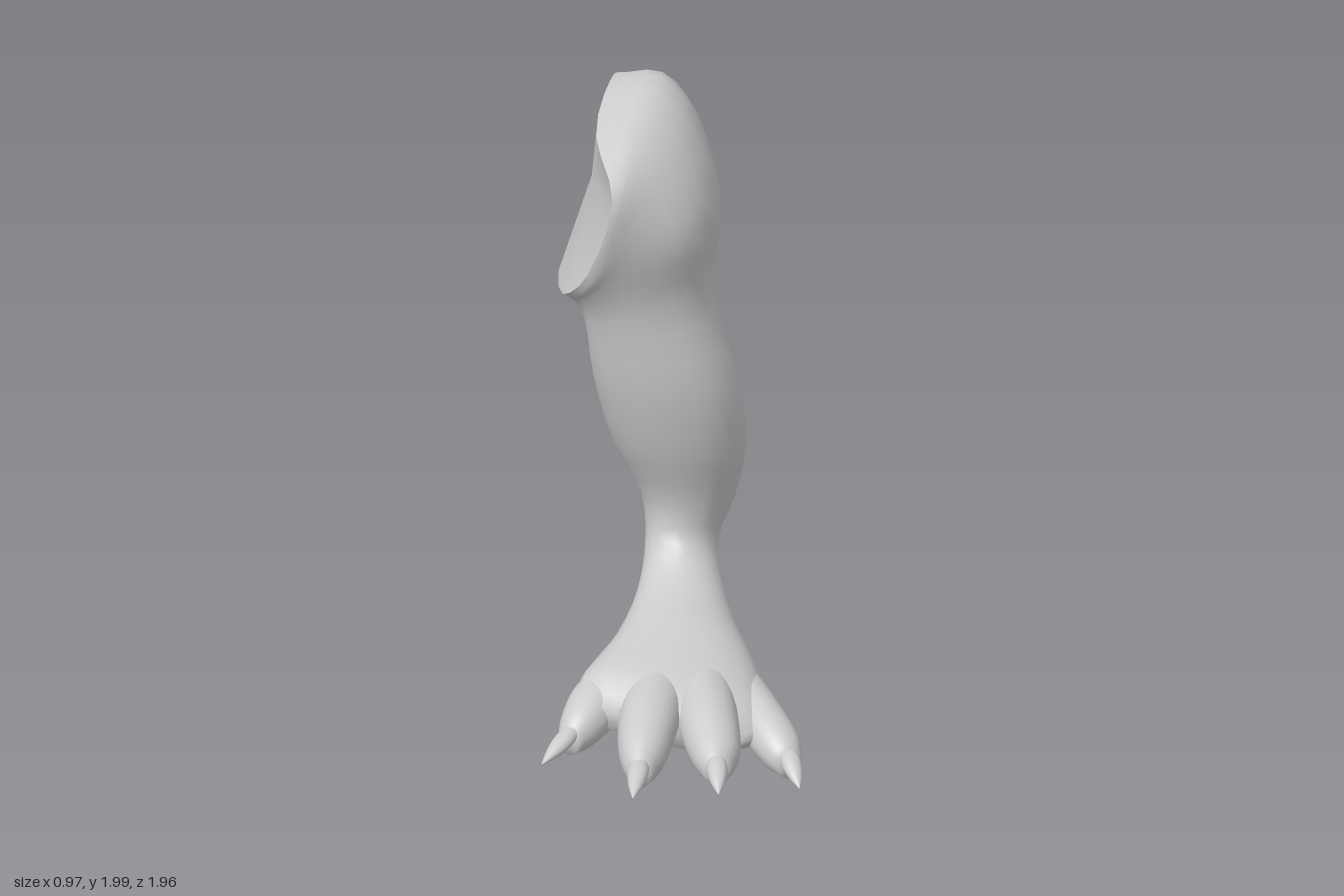
import * as THREE from 'three';

const SIDES = 24;
const material = new THREE.MeshStandardMaterial({ color: 0xcccccc });
const vec = (p) => new THREE.Vector3(...p);

function makeMesh(name, points, index) {
  const geometry = new THREE.BufferGeometry().setFromPoints(points);
  geometry.setIndex(index);
  geometry.computeVertexNormals();
  const mesh = new THREE.Mesh(geometry, material);
  mesh.name = name;
  return mesh;
}

// Resample each 8-point ring to SIDES points, then smooth along the length
function refine(rings, sub) {
  const fine = rings.map((ring) => {
    const curve = new THREE.CatmullRomCurve3(ring, true);
    return Array.from({ length: SIDES }, (_, i) => curve.getPoint(i / SIDES));
  });
  const columns = fine[0].map((_, i) => new THREE.CatmullRomCurve3(fine.map((r) => r[i])));
  const steps = (rings.length - 1) * sub;
  return Array.from({ length: steps + 1 }, (_, s) => columns.map((c) => c.getPoint(s / steps)));
}

// Skin over the rings, closed at the far end by a fan
function skin(name, rings) {
  const points = rings.flat();
  const index = [];
  const last = rings.length - 1;
  const tip = points.length;
  const middle = new THREE.Vector3();
  rings[last].forEach((p) => middle.addScaledVector(p, 1 / SIDES));
  points.push(middle);
  for (let i = 0; i < SIDES; i++) {
    const j = (i + 1) % SIDES;
    for (let r = 0; r < last; r++) {
      const a = r * SIDES + i, b = r * SIDES + j;
      index.push(a, b, a + SIDES, b, b + SIDES, a + SIDES);
    }
    index.push(tip, last * SIDES + i, last * SIDES + j);
  }
  return makeMesh(name, points, index);
}

// Leg ring: width limits, front/top edge, back/bottom edge, drop of the outer side
function legRing([x0, x1, zf, yf, zb, yb, drop = 0]) {
  return Array.from({ length: 8 }, (_, i) => {
    const a = (i * Math.PI) / 4, c = Math.cos(a), s = Math.sin(a);
    return new THREE.Vector3(
      (x0 + x1) / 2 + (c * (x1 - x0)) / 2,
      (yf + yb) / 2 + (s * (yf - yb)) / 2 - drop * c,
      (zf + zb) / 2 + (s * (zf - zb)) / 2);
  });
}

// Rounded digit along stations [x, y, z, half width, half height]
function digit(name, stations) {
  const first = stations[0], end = stations[stations.length - 1];
  const side = new THREE.Vector3(end[2] - first[2], 0, first[0] - end[0]).normalize();
  const rings = stations.map(([x, y, z, w, h]) => Array.from({ length: 8 }, (_, i) => {
    const a = (i * Math.PI) / 4;
    return new THREE.Vector3(x, y + h * Math.sin(a), z).addScaledVector(side, w * Math.cos(a));
  }));
  return skin(name, refine(rings, 3));
}

export function createModel() {
  const model = new THREE.Group();
  model.name = 'clawedLeg';

  // Thigh rings: outer, outer front, front, inner front, inner, inner back, back, outer back
  const thigh = [
    [[-0.31, 1.975, -0.45], [-0.285, 1.88, -0.08], [-0.2, 1.72, 0.1], [-0.29, 1.47, 0.05],
      [-0.41, 1.34, -0.13], [-0.49, 1.36, -0.58], [-0.28, 1.66, -0.98], [-0.33, 1.9, -0.8]],
    [[-0.14, 2.0, -0.43], [-0.16, 1.885, -0.09], [-0.18, 1.69, 0.095], [-0.285, 1.455, 0.048],
      [-0.405, 1.335, -0.14], [-0.475, 1.35, -0.57], [-0.25, 1.56, -0.92], [-0.2, 1.88, -0.78]],
    [[-0.02, 1.89, -0.4], [-0.05, 1.78, -0.07], [-0.16, 1.62, 0.08], [-0.28, 1.43, 0.04],
      [-0.395, 1.325, -0.15], [-0.45, 1.33, -0.55], [-0.23, 1.45, -0.83], [-0.08, 1.74, -0.7]],
    [[0.08, 1.61, -0.3], [0.03, 1.58, -0.05], [-0.13, 1.5, 0.045], [-0.28, 1.39, 0.01],
      [-0.375, 1.3, -0.17], [-0.41, 1.28, -0.48], [-0.2, 1.34, -0.68], [0, 1.48, -0.57]],
    [[0.06, 1.37, -0.25], [0.01, 1.36, -0.08], [-0.14, 1.32, -0.005], [-0.28, 1.28, -0.05],
      [-0.355, 1.24, -0.2], [-0.33, 1.2, -0.41], [-0.17, 1.22, -0.53], [0, 1.29, -0.44]],
  ].map((ring) => ring.map(vec));

  // Shin, ankle and foot
  const lower = [
    [-0.335, 0.15, -0.035, 1.05, -0.44, 1.05],
    [-0.28, 0.17, -0.09, 0.82, -0.5, 0.76],
    [-0.19, 0.13, -0.16, 0.62, -0.485, 0.57],
    [-0.17, 0.08, -0.15, 0.48, -0.43, 0.42],
    [-0.165, 0.14, 0.0, 0.385, -0.2, 0.25, 0.01],
    [-0.2, 0.27, 0.17, 0.345, 0.1, 0.085, 0.03],
    [-0.24, 0.33, 0.31, 0.31, 0.29, 0.06, 0.045],
    [-0.26, 0.36, 0.44, 0.27, 0.44, 0.06, 0.06],
    [-0.2, 0.27, 0.55, 0.21, 0.55, 0.09, 0.03],
  ].map(legRing);

  const rings = refine([...thigh, ...lower], 3);
  model.add(skin('leg', rings));

  // Cut face where the thigh would join the body
  const rim = rings[0];
  const capIndex = rim.flatMap((_, i) => [SIDES, (i + 1) % SIDES, i]);
  model.add(makeMesh('hipCap', [...rim, vec([-0.37, 1.66, -0.43])], capIndex));

  // Toes: root, knuckle, pad and nose stations, then the claw tip
  const toes = {
    inner: {
      path: [[-0.14, 0.18, 0.28, 0.08, 0.08], [-0.2, 0.17, 0.46, 0.09, 0.085],
        [-0.235, 0.14, 0.58, 0.065, 0.07], [-0.255, 0.12, 0.64, 0.035, 0.04]],
      claw: [-0.31, 0.11, 0.77],
    },
    second: {
      path: [[-0.02, 0.19, 0.35, 0.1, 0.1], [-0.01, 0.18, 0.58, 0.095, 0.09],
        [0, 0.145, 0.75, 0.07, 0.075], [0.005, 0.13, 0.83, 0.035, 0.045]],
      claw: [0.012, 0.13, 0.975],
    },
    third: {
      path: [[0.12, 0.18, 0.32, 0.1, 0.1], [0.175, 0.17, 0.54, 0.095, 0.09],
        [0.22, 0.14, 0.69, 0.075, 0.075], [0.235, 0.13, 0.77, 0.04, 0.045]],
      claw: [0.26, 0.125, 0.9],
    },
    outer: {
      path: [[0.22, 0.15, 0.22, 0.08, 0.08], [0.32, 0.12, 0.39, 0.08, 0.08],
        [0.4, 0.085, 0.51, 0.07, 0.07], [0.435, 0.065, 0.57, 0.04, 0.045]],
      claw: [0.48, 0.05, 0.685],
    },
  };
  for (const [name, { path, claw }] of Object.entries(toes)) {
    model.add(digit(name + 'Toe', path));
    const nose = vec(path[3]), tip = vec(claw);
    const stations = [[-0.25, 0.025], [0.15, 0.032], [0.6, 0.022], [1, 0.002]].map(([t, r]) => {
      const p = nose.clone().lerp(tip, t);
      return [p.x, p.y + 0.025 * (1 - t), p.z, r, r * 0.8];
    });
    model.add(digit(name + 'Claw', stations));
  }
  return model;
}
